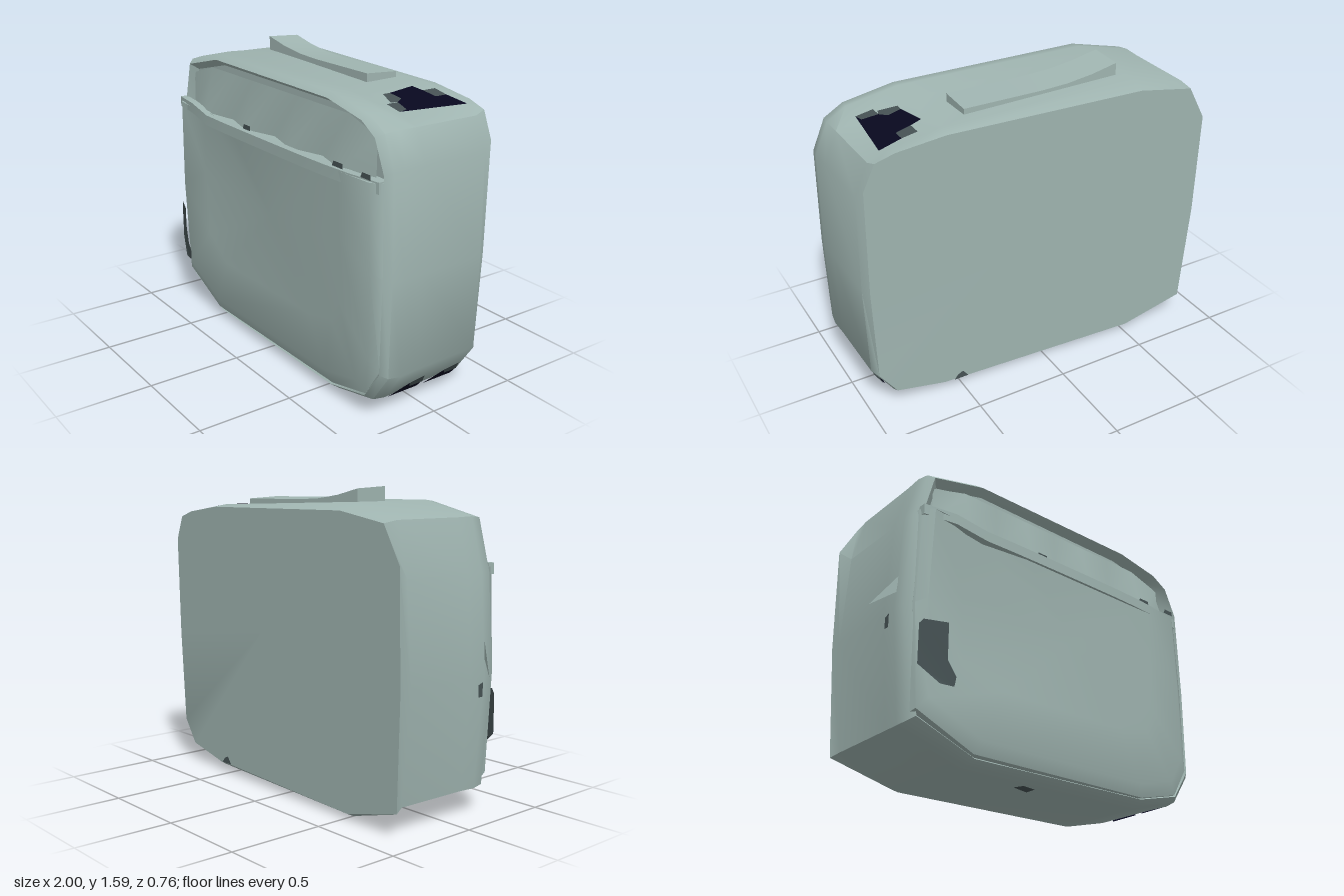
import * as THREE from 'three';
import { toCreasedNormals } from 'three/addons/utils/BufferGeometryUtils.js';

const mat = (name, color, side = THREE.FrontSide) => {
  const m = new THREE.MeshStandardMaterial({ color, side });
  m.name = name;
  return m;
};

// Skin a row of equal-length loops (back to front) and close both ends
function loft(loops, crease = 0.75) {
  const n = loops[0].length, pos = [], idx = [];
  loops.forEach(l => l.forEach(p => pos.push(...p)));
  for (let i = 0; i < loops.length - 1; i++) {
    for (let j = 0; j < n; j++) {
      const a = i * n + j, b = i * n + (j + 1) % n;
      idx.push(a, b, b + n, a, b + n, a + n);
    }
  }
  [[0, true], [loops.length - 1, false]].forEach(([row, flip]) => {
    const c = pos.length / 3;
    pos.push(...[0, 1, 2].map(k => loops[row].reduce((s, p) => s + p[k], 0) / n));
    for (let j = 0; j < n; j++) {
      const a = row * n + j, b = row * n + (j + 1) % n;
      idx.push(c, flip ? b : a, flip ? a : b);
    }
  });
  const g = new THREE.BufferGeometry();
  g.setAttribute('position', new THREE.Float32BufferAttribute(pos, 3));
  g.setIndex(idx);
  return toCreasedNormals(g, crease);
}

// Outline scaled about its middle; tilt slants it along x, lean along y, dip sinks its top at +x
const ring = (pts, s, z, { tilt = 0, lean = 0, dip = 0, cy = 0.77 } = {}) =>
  pts.map(([x, y]) => [
    0.03 + (x - 0.03) * s,
    cy + (y - cy) * s - (y > 1.43 && x > 0.5 ? dip : 0),
    z + tilt * x + lean * (y - 0.77)]);

// Move every vertex of a geometry by a rule
function bend(g, rule) {
  const p = g.attributes.position;
  for (let i = 0; i < p.count; i++) p.setXYZ(i, ...rule(p.getX(i), p.getY(i), p.getZ(i)));
  g.computeVertexNormals();
  return g;
}

// Flat patch drawn in two coordinates and laid on a surface by a rule
const patch = (pts, rule) =>
  bend(new THREE.ShapeGeometry(new THREE.Shape(pts.map(p => new THREE.Vector2(...p)))), rule);

export function createModel() {
  const group = new THREE.Group();
  const fabric = mat('sage fabric', 0xa0b5b1);
  const fabricThin = mat('sage thin fabric', 0xa0b5b1, THREE.DoubleSide);
  const navy = mat('dark navy', 0x08081f, THREE.DoubleSide);
  const grey = mat('dark grey', 0x465254, THREE.DoubleSide);
  const add = (name, geometry, material) => {
    const m = new THREE.Mesh(geometry, material);
    m.name = name;
    group.add(m);
  };

  // Soft case body with a recessed front
  const outline = [
    [-0.86, 0.14], [-0.52, 0.01], [0.6, 0.03], [0.88, 0.1], [0.99, 0.26], [1, 0.75], [0.99, 1.26],
    [0.92, 1.42], [0.82, 1.48], [0.55, 1.53], [-0.5, 1.535], [-0.81, 1.46], [-0.88, 1.2], [-0.91, 0.7]];
  const backOutline = [
    [-0.87, 0.13], [-0.52, 0.04], [0.6, 0.06], [0.86, 0.11], [0.95, 0.24], [0.965, 0.75], [0.96, 1.3],
    [0.9, 1.43], [0.8, 1.46], [0.55, 1.49], [-0.5, 1.49], [-0.8, 1.44], [-0.9, 1.26], [-0.9, 0.7]];
  add('body', loft([
    ring(backOutline, 1, -0.335, { tilt: 0.034, lean: -0.024 }),
    ring(outline, 0.99, -0.28, { tilt: 0.02, dip: 0.02 }),
    ring(outline, 0.995, 0.1, { dip: 0.03 }),
    ring(outline, 1, 0.2, { tilt: 0.01 }),
    ring(outline, 0.99, 0.265, { tilt: 0.01 }),
    ring(outline, 0.96, 0.297, { tilt: 0.01 }),
    ring(outline, 0.92, 0.25)]), fabric);

  // Front pocket, bulging forward below its open top and dented at one side
  const pocketOutline = [
    [-0.85, 0.18], [-0.52, 0.04], [0.6, 0.055], [0.86, 0.12], [0.96, 0.28], [0.965, 0.75],
    [0.95, 1.2], [0.5, 1.2], [-0.4, 1.2], [-0.86, 1.22], [-0.88, 0.7]];
  add('frontPocket', loft([
    ring(pocketOutline, 1, 0.25, { cy: 1.2 }),
    ring(pocketOutline, 0.985, 0.3, { cy: 1.2 }),
    ring(pocketOutline, 0.93, 0.332, { cy: 1.2, lean: 0.01 }),
    ring(pocketOutline, 0.7, 0.342, { cy: 1.2, lean: 0.01 })
      .map(([x, y, z]) => [x, y, x < -0.4 && y > 0.4 ? z - 0.035 : z])]), fabric);

  // Hem along the pocket opening
  add('pocketHem', bend(new THREE.BoxGeometry(1.78, 0.055, 0.04, 10, 1, 1), (x, y, z) =>
    [x + 0.04, y + 1.18 + (x < -0.6 ? 0.03 : 0), z + 0.339 - 0.07 * x ** 4]), fabric);

  // Pleated lining above the pocket, sloping out towards the hem
  add('pleatedLining', bend(new THREE.PlaneGeometry(1.62, 0.25, 8, 1), (x, y) => {
    const fold = Math.round((x + 0.81) / 0.2025) % 2;
    return [x + 0.04, y + 1.32 - (y > 0 && Math.abs(x) > 0.7 ? 0.06 : 0), y > 0 ? 0.262 : fold ? 0.32 : 0.265];
  }), fabricThin);

  // Carrying strap rising out of the top, highest at one end
  add('carryStrap', bend(new THREE.BoxGeometry(0.85, 0.1, 0.18, 6, 1, 1), (x, y, z) =>
    [x - 0.025, y < 0 ? 1.5 : 1.535 + 0.055 * Math.max(0, -x / 0.425) ** 2 + 0.06 * (z + 0.09), z - 0.12]), fabric);

  // Loose pull on the side, with its dark spot
  add('sidePull', patch([[-0.9, 0.87], [-1, 0.72], [-0.9, 0.79]],
    (x, y) => [x, y, 0.2 + (x + 0.9) * 0.8]), fabricThin);
  add('sideSpot', patch([[0.14, 0.61], [0.17, 0.61], [0.17, 0.68], [0.14, 0.67]],
    (z, y) => [-0.92, y, z]), grey);

  // Dark marking on the top slope
  const onTop = (x, z) => [x, 1.512 - 0.185 * (x - 0.55), z];
  add('topMarking', patch([[0.59, -0.15], [0.65, -0.165], [0.73, -0.175], [0.73, -0.24], [0.85, -0.26],
    [0.81, 0.11], [0.8, 0.06], [0.72, 0.045], [0.69, 0], [0.62, 0.01]], onTop), navy);
  [
    [[0.65, -0.165], [0.65, -0.24], [0.73, -0.24], [0.73, -0.175]],
    [[0.62, 0.01], [0.69, 0], [0.72, 0.045], [0.71, 0.08], [0.62, 0.05]],
    [[0.72, 0.045], [0.8, 0.06], [0.81, 0.11], [0.72, 0.11]],
  ].forEach(p => add('topMarkingEdge', patch(p, onTop), grey));

  // Dark markings on the lower side corner
  const onCorner = (z, y) => [0.888 + (y - 0.1) * 0.69, y, z];
  for (const z of [0, -0.22]) {
    add('cornerMarking', patch([[z + 0.2, 0.105], [z + 0.1, 0.165], [z + 0.08, 0.13], [z + 0.01, 0.13],
      [z + 0.02, 0.105]], onCorner), navy);
    add('cornerMarkingEdge', patch([[z + 0.08, 0.13], [z + 0.1, 0.165], [z + 0.02, 0.185], [z, 0.13]],
      onCorner), grey);
  }

  // Small dark spots above the hem, under the base and low on the back
  for (const [x, w] of [[-0.115, 0.07], [0.655, 0.08], [0.86, 0.07]]) {
    add('hemSpot', patch([[x - w / 2, 1.21], [x + w / 2, 1.21], [x + w / 2, 1.235], [x - w / 3, 1.235]],
      (u, y) => [u, y, 0.335]), grey);
  }
  add('baseSpot', patch([[-0.15, 0.15], [-0.05, 0.13], [-0.05, 0.19], [-0.13, 0.2]],
    (x, z) => [x, 0.012, z]), grey);
  add('backSpot', patch([[0.47, 0.065], [0.55, 0.065], [0.53, 0.09], [0.5, 0.105]],
    (x, y) => [x, y, -0.312]), grey);

  // Dark tag on the front pocket
  add('frontTag', patch([[-0.86, 0.59], [-0.84, 0.615], [-0.73, 0.615], [-0.73, 0.43], [-0.68, 0.36],
    [-0.69, 0.31], [-0.76, 0.31], [-0.86, 0.39]],
    (x, y) => [x, y, 0.33 + Math.min(0.05, (x + 0.86) * 0.38)]), grey);

  return group;
}
